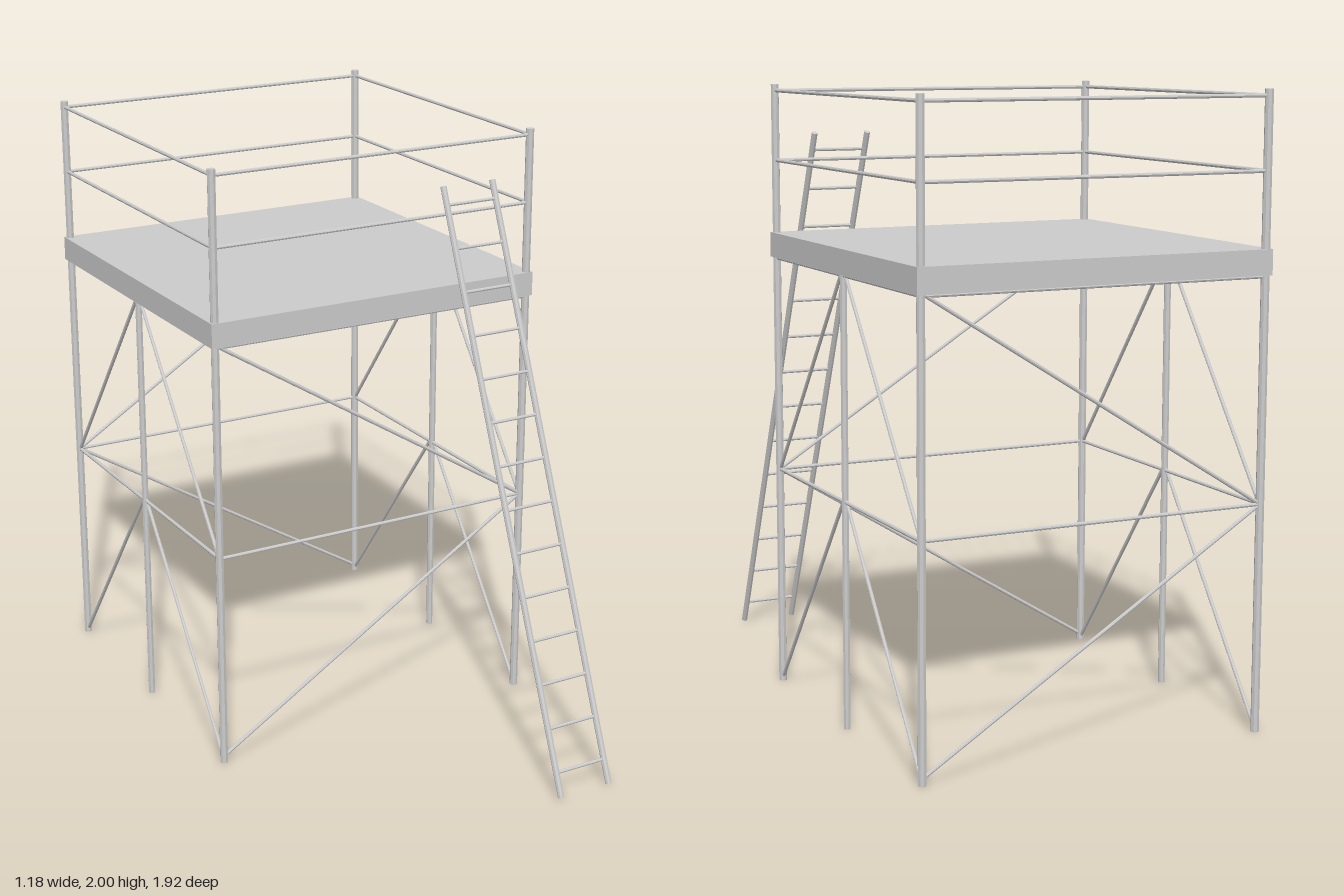
import * as THREE from 'three';

const material = new THREE.MeshStandardMaterial({ color: 0xcccccc, flatShading: true });
const UP = new THREE.Vector3(0, 1, 0);

// Straight round bar between two points
function bar(parent, name, from, to, radius, sides = 8) {
  const a = new THREE.Vector3(...from);
  const b = new THREE.Vector3(...to);
  const dir = b.clone().sub(a);
  const mesh = new THREE.Mesh(new THREE.CylinderGeometry(radius, radius, dir.length(), sides), material);
  mesh.name = name;
  mesh.position.copy(a).add(b).multiplyScalar(0.5);
  mesh.quaternion.setFromUnitVectors(UP, dir.normalize());
  parent.add(mesh);
}

function subgroup(parent, name) {
  const group = new THREE.Group();
  group.name = name;
  parent.add(group);
  return group;
}

export function createModel() {
  const model = new THREE.Group();
  model.name = 'scaffoldTower';

  const X = 0.573, FRONT = 0.2, BACK = -0.943, MID = (FRONT + BACK) / 2;
  const HALF = 0.73, TOP = 1.436, THIN = 0.006;

  // Deck slab
  const deck = new THREE.Mesh(new THREE.BoxGeometry(1.18, 0.08, 1.172), material);
  deck.name = 'deck';
  deck.position.set(0, 1.48, MID);
  model.add(deck);

  // Corner posts run up to the guard rail, middle legs stop at the deck
  const posts = subgroup(model, 'posts');
  for (const x of [-X, X]) {
    for (const z of [FRONT, BACK]) bar(posts, 'cornerPost', [x, 0, z], [x, 2, z], 0.0135);
    bar(posts, 'middleLeg', [x, 0, MID], [x, 1.44, MID], 0.0115);
  }

  // Horizontal rings: two ledgers under the deck, two guard rails above
  const rings = subgroup(model, 'horizontalRails');
  for (const y of [HALF, TOP, 1.755, 1.98]) {
    const name = y > 1.5 ? 'guardRail' : 'ledger';
    for (const z of [FRONT, BACK]) bar(rings, name, [-X, y, z], [X, y, z], THIN);
    for (const x of [-X, X]) bar(rings, name, [x, y, FRONT], [x, y, BACK], THIN);
  }

  // Diagonal braces
  const braces = subgroup(model, 'diagonalBraces');
  // Front and back zigzag in opposite directions
  for (const [z, s] of [[FRONT, 1], [BACK, -1]]) {
    bar(braces, 'lowerBrace', [-s * X, 0.02, z], [s * X, HALF, z], THIN);
    bar(braces, 'upperBrace', [s * X, HALF, z], [-s * X, TOP + 0.01, z], THIN);
  }
  // Sides fan down from the middle leg to the corners
  for (const x of [-X, X]) {
    for (const z of [FRONT, BACK]) {
      const start = MID + Math.sign(z - MID) * 0.01;
      bar(braces, 'sideBrace', [x, 0.008, z], [x, HALF + 0.005, start], THIN);
      bar(braces, 'sideBrace', [x, HALF - 0.005, z], [x, 1.448, start], THIN);
    }
  }

  // Leaning ladder
  const ladder = subgroup(model, 'ladder');
  const y0 = 0.005, z0 = 0.95, y1 = 1.842, z1 = 0.182;
  const L = 0.257, R = 0.443;
  for (const x of [L, R]) bar(ladder, 'ladderStile', [x, y0, z0], [x, y1, z1], 0.0105);
  for (let i = 0; i < 14; i++) {
    const y = 0.08 + i * 0.1312;
    const z = z0 + (z1 - z0) * (y - y0) / (y1 - y0);
    bar(ladder, 'rung', [L, y, z], [R, y, z], 0.0055);
  }

  return model;
}
